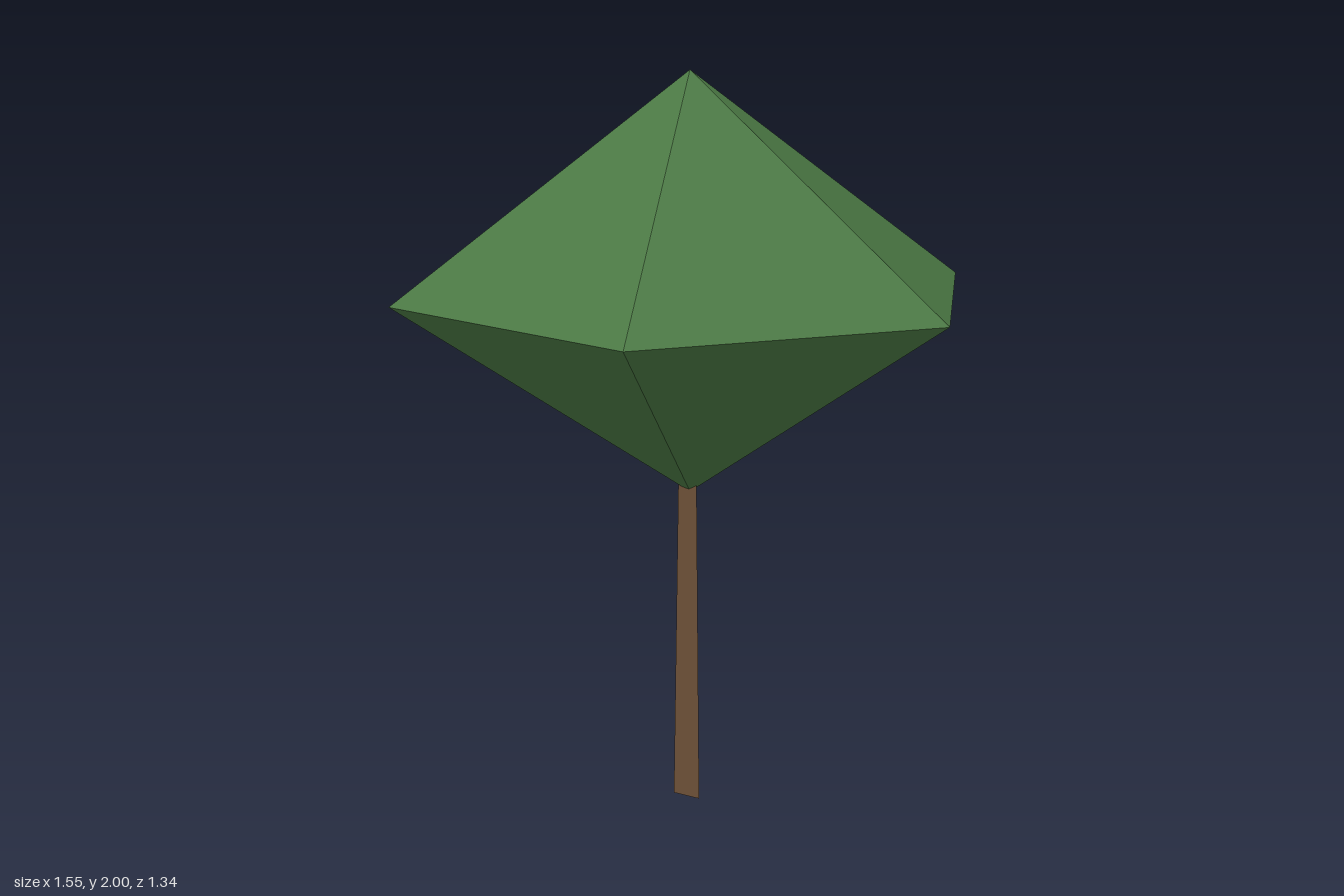
import * as THREE from 'three';

export function createModel() {
  const tree = new THREE.Group();
  tree.name = 'tree';

  const leafGreen = new THREE.MeshStandardMaterial({ color: 0x4a7743, flatShading: true });
  leafGreen.name = 'leaf green';
  const barkBrown = new THREE.MeshStandardMaterial({ color: 0x6b4f37, flatShading: true });
  barkBrown.name = 'bark brown';

  // Crown: six-sided double pyramid, corners on the x axis
  const profile = [[0, 0.9], [0.775, 1.45], [0, 2]].map(([r, y]) => new THREE.Vector2(r, y));
  const crown = new THREE.Mesh(new THREE.LatheGeometry(profile, 6, Math.PI / 2), leafGreen);
  crown.name = 'crown';

  // Trunk: slim tapered three-sided post, slightly turned, ending inside the crown
  const height = 0.95;
  const trunkGeometry = new THREE.CylinderGeometry(0.031, 0.046, height, 3, 1, false, 0.25);
  trunkGeometry.translate(0, height / 2, 0);
  const trunk = new THREE.Mesh(trunkGeometry, barkBrown);
  trunk.name = 'trunk';

  tree.add(crown, trunk);
  return tree;
}
